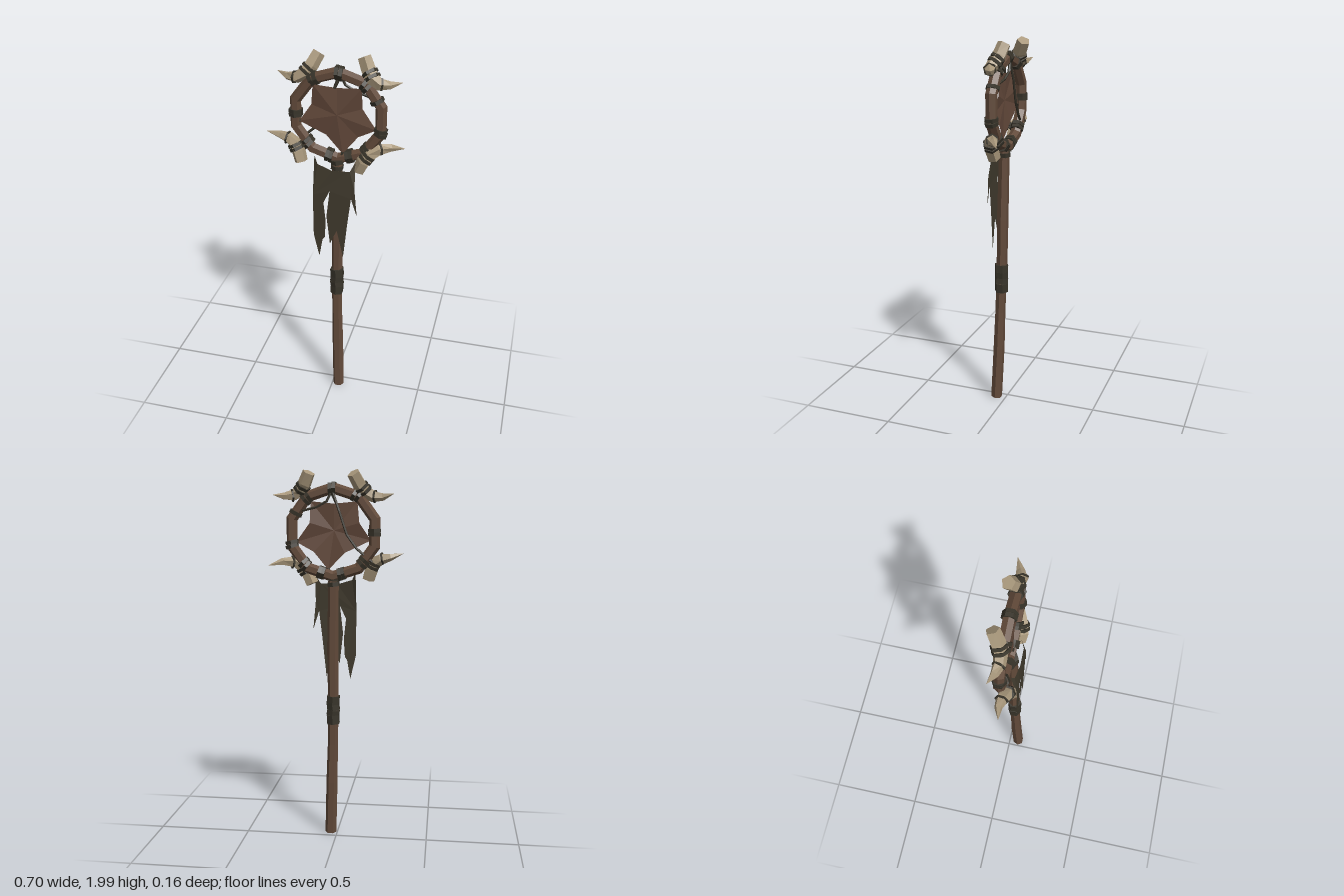
import * as THREE from 'three';

const mat = (name, color, side = THREE.FrontSide) => {
  const m = new THREE.MeshStandardMaterial({ color, flatShading: true, side });
  m.name = name;
  return m;
};
const V = (x, y, z = 0) => new THREE.Vector3(x, y, z);

// Faceted, capped sweep along a polyline with one radius per point
function sweep(pts, radii, sides) {
  const pos = [], idx = [], n = pts.length;
  pts.forEach((p, i) => {
    const t = pts[Math.min(i + 1, n - 1)].clone().sub(pts[Math.max(i - 1, 0)]).normalize();
    const u = V(0, 0, 1).cross(t).normalize();
    const v = t.clone().cross(u);
    const r = Array.isArray(radii) ? radii[i] : radii;
    for (let j = 0; j < sides; j++) {
      const a = (j / sides) * Math.PI * 2;
      const q = p.clone().addScaledVector(u, r * Math.cos(a)).addScaledVector(v, r * Math.sin(a));
      pos.push(q.x, q.y, q.z);
    }
  });
  for (let i = 0; i < n - 1; i++) for (let j = 0; j < sides; j++) {
    const k = (j + 1) % sides, a = i * sides + j, b = i * sides + k;
    idx.push(a, b, b + sides, a, b + sides, a + sides);
  }
  const e = (n - 1) * sides;
  for (let j = 1; j < sides - 1; j++) idx.push(0, j + 1, j, e, e + j, e + j + 1);
  const g = new THREE.BufferGeometry();
  g.setAttribute('position', new THREE.Float32BufferAttribute(pos, 3));
  g.setIndex(idx);
  g.computeVertexNormals();
  return g;
}

export function createModel() {
  const root = new THREE.Group();
  root.name = 'ritualStaff';
  const wood = mat('wood', 0x624a3a);
  const hide = mat('hide', 0x62483a, THREE.DoubleSide);
  const bone = mat('bone', 0xa8977b);
  const cloth = mat('cloth', 0x403a2d, THREE.DoubleSide);
  const binding = mat('binding', 0x38342a);

  const add = (name, geo, m, parent = root) => {
    const mesh = new THREE.Mesh(geo, m);
    mesh.name = name;
    parent.add(mesh);
    return mesh;
  };
  // Short band wrapped around an axis
  const band = (name, at, dir, radius, height, sides = 6) => {
    const mesh = add(name, new THREE.CylinderGeometry(radius, radius, height, sides), binding);
    mesh.position.copy(at);
    mesh.quaternion.setFromUnitVectors(V(0, 1, 0), dir.clone().normalize());
    return mesh;
  };

  // Bent shaft
  const shaft = [V(0.036, 0, 0.053), V(0.028, 0.3, 0.04), V(0.022, 0.52, 0.034), V(0.018, 0.75, 0.026),
    V(0.02, 1.05, 0.02), V(0.015, 1.42, 0.012)];
  add('shaft', sweep(shaft, [0.031, 0.031, 0.028, 0.029, 0.031, 0.028], 6), wood);

  // Grip wraps
  [[0.662, 0.05, 0.06], [0.7, 0.03, -0.16], [0.735, 0.045, 0.12], [0.77, 0.045, -0.04]].forEach(([y, h, tilt], i) =>
    band('gripWrap', V(0.019, y, 0.028), V(tilt, 1, -0.03), 0.037 + (i % 2) * 0.001, h));

  // Ten-sided hoop
  const C = V(0.015, 1.67, -0.002), R = 0.228;
  const hoop = add('hoop', new THREE.TorusGeometry(R, 0.03, 6, 10), wood);
  hoop.position.copy(C);
  hoop.rotation.z = Math.PI / 2;

  // Wraps around the hoop, at angles in degrees
  const onHoop = (deg) => {
    const off = ((((deg - 90) % 36) + 36) % 36) - 18;
    const r = R * Math.cos(Math.PI / 10) / Math.cos(THREE.MathUtils.degToRad(off));
    const a = THREE.MathUtils.degToRad(deg);
    return V(C.x + r * Math.cos(a), C.y + r * Math.sin(a), C.z);
  };
  for (const deg of [86, 91, 177, 182, -13, -18, -76, -71, -104, -99, 27, 120, 126, 55, 49, 221, 227, -45, -51]) {
    const a = THREE.MathUtils.degToRad(deg);
    band('hoopWrap', onHoop(deg), V(-Math.sin(a), Math.cos(a), 0), 0.037, 0.019);
  }

  // Tie between shaft and hoop
  band('shaftTie', V(0.015, 1.4, 0.012), V(0.1, 1, 0), 0.034, 0.022);
  band('shaftTie', V(0.015, 1.43, 0.008), V(-0.15, 1, 0), 0.036, 0.022);

  // Curved tusks: blunt root, lashed middle, pointed tip
  const tusks = {
    upperRight: [V(-0.095, 1.972, -0.052), V(-0.125, 1.915, -0.022), V(-0.155, 1.878, -0.004),
      V(-0.195, 1.855, 0), V(-0.245, 1.853, -0.012), V(-0.3, 1.868, -0.033)],
    upperLeft: [V(0.135, 1.975, -0.034), V(0.16, 1.92, -0.018), V(0.188, 1.882, 0.002),
      V(0.222, 1.86, 0.008), V(0.27, 1.855, -0.008), V(0.325, 1.863, -0.032)],
    lowerRight: [V(-0.165, 1.425, 0.045), V(-0.182, 1.48, 0.035), V(-0.2, 1.515, 0.03),
      V(-0.235, 1.535, 0.018), V(-0.285, 1.545, 0.012), V(-0.35, 1.563, 0.025)],
    lowerLeft: [V(0.13, 1.4, 0.024), V(0.155, 1.455, 0.03), V(0.182, 1.492, 0.022),
      V(0.222, 1.516, 0.002), V(0.28, 1.518, -0.032), V(0.345, 1.502, -0.07)],
  };
  for (const [name, p] of Object.entries(tusks)) {
    add(name + 'Tusk', sweep(p, [0.034, 0.037, 0.035, 0.031, 0.02, 0.001], 5), bone);
    [[1, 0.35, 0.041, 0.016], [1, 0.85, 0.041, 0.016], [3, 0.15, 0.034, 0.009]].forEach(([i, f, r, h]) =>
      band(name + 'Lashing', p[i].clone().lerp(p[i + 1], f), p[i + 1].clone().sub(p[i]), r, h));
  }

  // Stretched hide: five points with sagging edges, a fan from the middle
  const rim = [[-0.11, 1.83, 0.01], [0.01, 1.818, 0], [0.135, 1.83, 0.01], [0.138, 1.72, -0.004], [0.212, 1.62, 0.008],
    [0.118, 1.57, 0], [0.042, 1.475, 0.01], [-0.045, 1.565, 0], [-0.182, 1.63, 0.008], [-0.122, 1.72, -0.004]];
  const hpos = [0.012, 1.68, 0.012, ...rim.flat()], hidx = [];
  rim.forEach((_, i) => hidx.push(0, ((i + 1) % rim.length) + 1, i + 1));
  const hg = new THREE.BufferGeometry();
  hg.setAttribute('position', new THREE.Float32BufferAttribute(hpos, 3));
  hg.setIndex(hidx);
  hg.computeVertexNormals();
  add('hide', hg, hide);

  // Cords from the hide to the hoop
  const cords = [
    [V(0.015, 1.88, -0.02), V(-0.02, 1.78, -0.026), V(-0.06, 1.66, -0.024), V(-0.11, 1.59, -0.02), V(-0.19, 1.52, -0.01)],
    [V(0.02, 1.885, -0.02), V(0.045, 1.83, -0.024), V(0.1, 1.8, -0.022), V(0.16, 1.785, -0.015), V(0.235, 1.775, 0)],
    [V(0.03, 1.885, 0.005), V(0.0, 1.82, 0.014)],
    [V(-0.11, 1.825, 0.01), V(-0.14, 1.86, 0.01)],
    [V(0.13, 1.825, 0.01), V(0.165, 1.855, 0.01)],
    [V(0.2, 1.62, 0.008), V(0.24, 1.615, 0)],
    [V(-0.175, 1.63, 0.008), V(-0.21, 1.66, 0)],
    [V(0.042, 1.485, 0.01), V(0.03, 1.44, 0.01)],
  ];
  cords.forEach((p) => add('cord', sweep(p, 0.007, 5), binding));

  // Tattered cloth hanging in front of the shaft
  const outline = [[-0.1, 1.46], [-0.08, 1.42], [0, 1.395], [0.09, 1.4], [0.115, 1.445], [0.118, 1.3], [0.132, 1.15],
    [0.1, 1.25], [0.082, 1.1], [0.06, 0.89], [0.025, 1.05], [-0.012, 0.965], [-0.03, 1.13], [-0.013, 1.28],
    [-0.046, 1.21], [-0.034, 1.1], [-0.04, 1.0], [-0.052, 0.985], [-0.07, 0.88], [-0.1, 1.01], [-0.102, 1.25]];
  const cg = new THREE.ShapeGeometry(new THREE.Shape(outline.map(([x, y]) => new THREE.Vector2(x, y))));
  const cp = cg.attributes.position;
  for (let i = 0; i < cp.count; i++) {
    const y = cp.getY(i);
    cp.setZ(i, 0.062 - Math.max(0, y - 1.38) * 0.4);
  }
  cg.computeVertexNormals();
  add('tatteredCloth', cg, cloth);

  return root;
}
